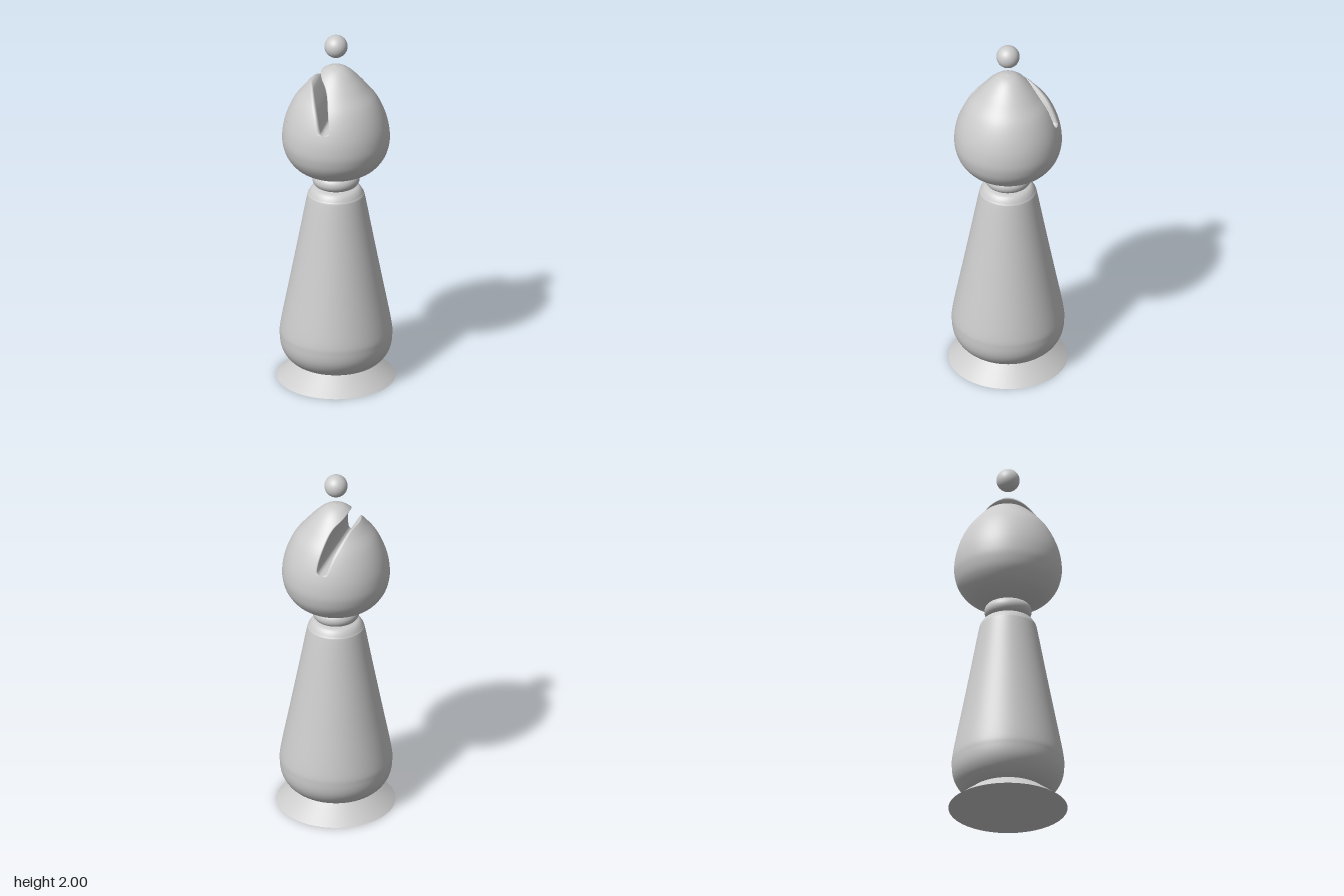
import * as THREE from 'three';

const SEG = 96;
const grey = new THREE.MeshStandardMaterial({ color: 0xcccccc, side: THREE.DoubleSide });
const spline = (pts, n) => new THREE.SplineCurve(pts.map(([x, y]) => new THREE.Vector2(x, y))).getPoints(n);
const add = (parent, name, geometry) => {
  const mesh = new THREE.Mesh(geometry, grey);
  mesh.name = name;
  parent.add(mesh);
  return mesh;
};

// Outline of the head, bottom to top
const headLine = spline([[0.1, 1.199], [0.16, 1.212], [0.22, 1.247], [0.265, 1.305], [0.285, 1.365],
  [0.289, 1.42], [0.28, 1.49], [0.256, 1.565], [0.22, 1.635], [0.17, 1.698], [0.13, 1.745],
  [0.085, 1.79], [0.045, 1.816], [0, 1.826]], 400);

// Head radius at a height
function radiusAt(y) {
  const i = Math.min(Math.max(headLine.findIndex(p => p.y > y), 1), headLine.length - 1);
  const a = headLine[i - 1], b = headLine[i];
  return a.x + (b.x - a.x) * (y - a.y) / (b.y - a.y);
}

// Lathe of the head between two heights
function headBand(y0, y1) {
  const pts = headLine.filter((p, i) => i % 5 === 0 && p.y > y0 + 0.001 && p.y < y1 - 0.001);
  if (y0 > headLine[0].y) pts.unshift(new THREE.Vector2(radiusAt(y0), y0));
  else pts.unshift(headLine[0]);
  pts.push(y1 > 1.825 ? new THREE.Vector2(0, 1.826) : new THREE.Vector2(radiusAt(y1), y1));
  return new THREE.LatheGeometry(pts, SEG);
}

// One side of the slot: stacked sections, each an arc closed by a straight chord with rounded corners
function headSide(wall, side, fillet) {
  const ARC = 64, CORNER = 6, CHORD = 12;
  const pos = [], index = [], outer = [];
  let width = 0;
  wall.forEach(({ x, y }, row) => {
    const r = radiusAt(y);
    const cx = row === wall.length - 1 ? -r : Math.max(x, -r);
    const t = Math.acos(THREE.MathUtils.clamp(cx / r, -1, 1));
    const [a, b] = side < 0 ? [t, 2 * Math.PI - t] : [-t, t];
    const at = f => new THREE.Vector2(r * Math.cos(f), r * Math.sin(f));
    const A = at(a), B = at(b), chord = A.distanceTo(B);
    const d = Math.min(fillet * Math.min(1, row / 10), 0.3 * r * (b - a), 0.3 * chord);
    const k = d / r, f = chord > 1e-6 ? d / chord : 0;
    const loop = [];
    for (let i = 0; i <= ARC; i++) loop.push(at(a + k + (b - a - 2 * k) * i / ARC));
    const B2 = B.clone().lerp(A, f), A2 = A.clone().lerp(B, f);
    const c1 = new THREE.QuadraticBezierCurve(at(b - k), B, B2);
    const c2 = new THREE.QuadraticBezierCurve(A2, A, at(a + k));
    loop.push(...c1.getPoints(CORNER).slice(1));
    for (let i = 1; i <= CHORD; i++) loop.push(B2.clone().lerp(A2, i / CHORD));
    loop.push(...c2.getPoints(CORNER).slice(1, -1));
    width = loop.length;
    const slope = (radiusAt(y + 0.004) - radiusAt(y - 0.004)) / 0.008;
    loop.forEach((p, j) => {
      if (j <= ARC) outer.push([row * width + j, new THREE.Vector3(p.x / r, -slope, -p.y / r).normalize()]);
      pos.push(p.x, y, -p.y);
      if (row === 0) return;
      const n = (j + 1) % width, lo = (row - 1) * width, hi = row * width;
      index.push(lo + j, lo + n, hi + j, lo + n, hi + n, hi + j);
    });
  });
  const g = new THREE.BufferGeometry();
  g.setAttribute('position', new THREE.Float32BufferAttribute(pos, 3));
  g.setIndex(index);
  g.computeVertexNormals();
  // the outer skin keeps the normals of the turned head
  outer.forEach(([i, n]) => g.attributes.normal.setXYZ(i, n.x, n.y, n.z));
  return g;
}

export function createModel() {
  const model = new THREE.Group();
  model.name = 'chessPiece';

  // Flared foot
  add(model, 'base', new THREE.CylinderGeometry(0.2, 0.32, 0.09, SEG)).position.y = 0.045;

  // Tapered body, rounded at both ends
  const body = spline([[0.2, 0.088], [0.235, 0.103], [0.27, 0.137], [0.294, 0.185], [0.302, 0.245], [0.296, 0.32],
    [0.25, 0.56], [0.204, 0.8], [0.159, 1.04], [0.147, 1.08], [0.126, 1.109], [0.095, 1.12]], 80);
  add(model, 'body', new THREE.LatheGeometry([...body, new THREE.Vector2(0, 1.12)], SEG));

  // Collar ring under the head
  const ring = [new THREE.Vector2(0, 1.12)];
  for (let i = 0; i <= 16; i++) {
    const t = -Math.PI / 2 + Math.PI * i / 16;
    ring.push(new THREE.Vector2(0.09 + 0.037 * Math.cos(t), 1.16 + 0.04 * Math.sin(t)));
  }
  ring.push(new THREE.Vector2(0, 1.2));
  add(model, 'collar', new THREE.LatheGeometry(ring, SEG));

  // Head with a curved slot running through it from front to back
  const head = new THREE.Group();
  head.name = 'head';
  model.add(head);
  const slotFloor = 1.523, slotTop = 1.797;
  const smallWall = spline([[-0.008, slotFloor], [-0.022, 1.528], [-0.032, 1.548], [-0.058, 1.627],
    [-0.098, 1.71], [-0.115, 1.732], [-0.127, 1.738], [-0.136, 1.739]], 56);
  const largeWall = spline([[-0.008, slotFloor], [0.008, 1.528], [0.017, 1.548], [0.011, 1.606], [-0.01, 1.695],
    [-0.032, 1.743], [-0.06, 1.772], [-0.071, 1.785], [-0.078, slotTop]], 64);
  add(head, 'headLower', headBand(0, slotFloor));
  add(head, 'headSmallSide', headSide(smallWall, -1, 0.022));
  add(head, 'headLargeSide', headSide(largeWall, 1, 0.01));
  add(head, 'headTip', headBand(slotTop, 2));

  // Ball floating above the head
  add(model, 'topBall', new THREE.SphereGeometry(0.0625, 48, 32)).position.y = 1.9375;

  return model;
}
